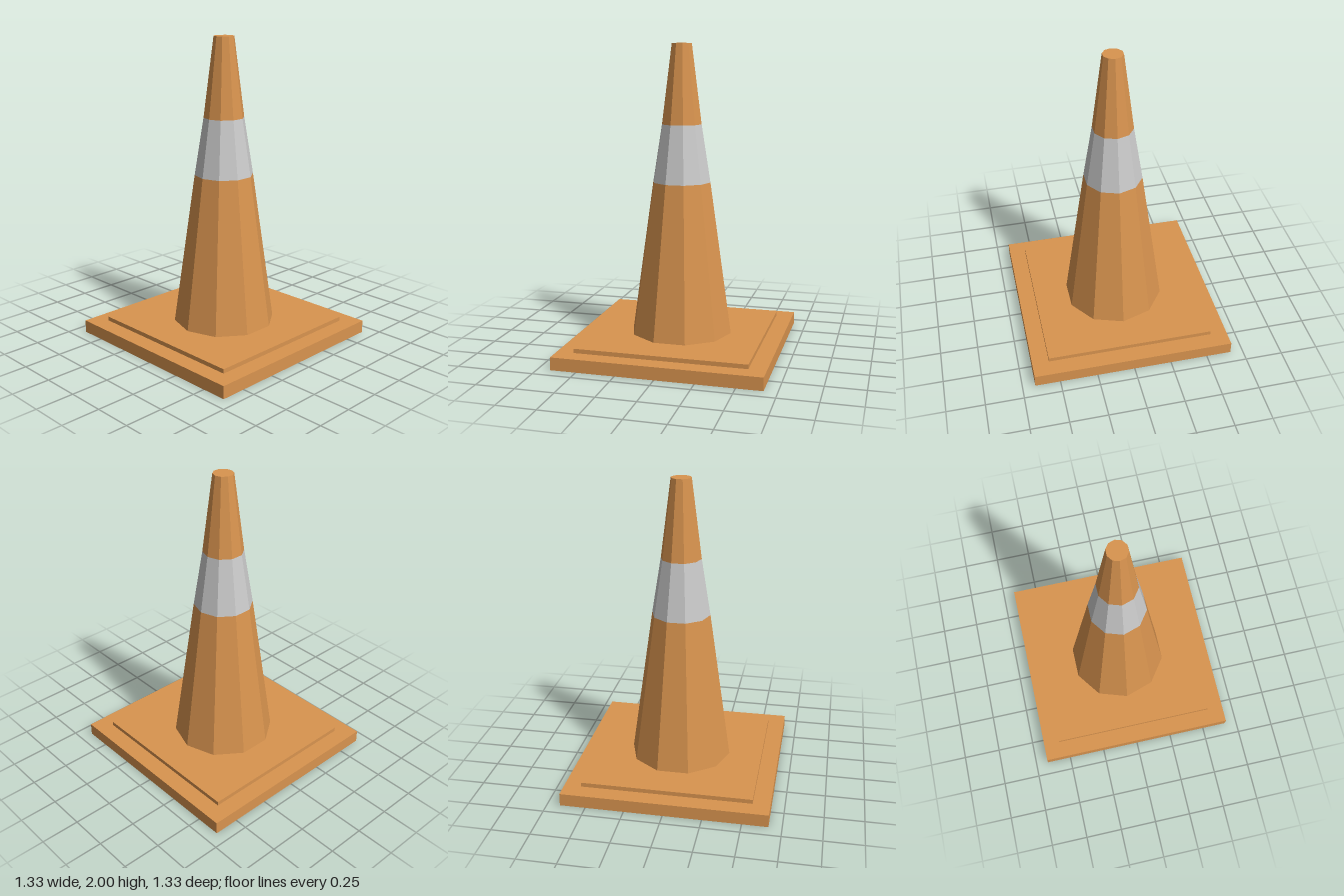
import * as THREE from 'three';

const SIDES = 10;

export function createModel() {
  const group = new THREE.Group();
  const orange = new THREE.MeshStandardMaterial({ color: 0xd9944f, flatShading: true });
  const white = new THREE.MeshStandardMaterial({ color: 0xcccccc, flatShading: true });

  const add = (name, geometry, material, y) => {
    const mesh = new THREE.Mesh(geometry, material);
    mesh.name = name;
    mesh.position.y = y;
    group.add(mesh);
  };

  // Square slab between two heights
  const slab = (name, size, y0, y1) =>
    add(name, new THREE.BoxGeometry(size, y1 - y0, size), orange, (y0 + y1) / 2);

  // Ten-sided tapered section with a corner on the x axis
  const section = (name, material, [r0, y0], [r1, y1], open = true) =>
    add(name, new THREE.CylinderGeometry(r1, r0, y1 - y0, SIDES, 1, open, Math.PI / 2),
      material, (y0 + y1) / 2);

  // Stepped base
  slab('basePlate', 1.333, 0, 0.083);
  slab('baseStep', 1.11, 0.083, 0.111);

  // Cone body: lower part, reflective band, capped tip
  const rings = [[0.335, 0.111], [0.192, 1.111], [0.132, 1.485], [0.066, 2]];
  section('lowerCone', orange, rings[0], rings[1]);
  section('reflectiveBand', white, rings[1], rings[2]);
  section('coneTip', orange, rings[2], rings[3], false);

  return group;
}
